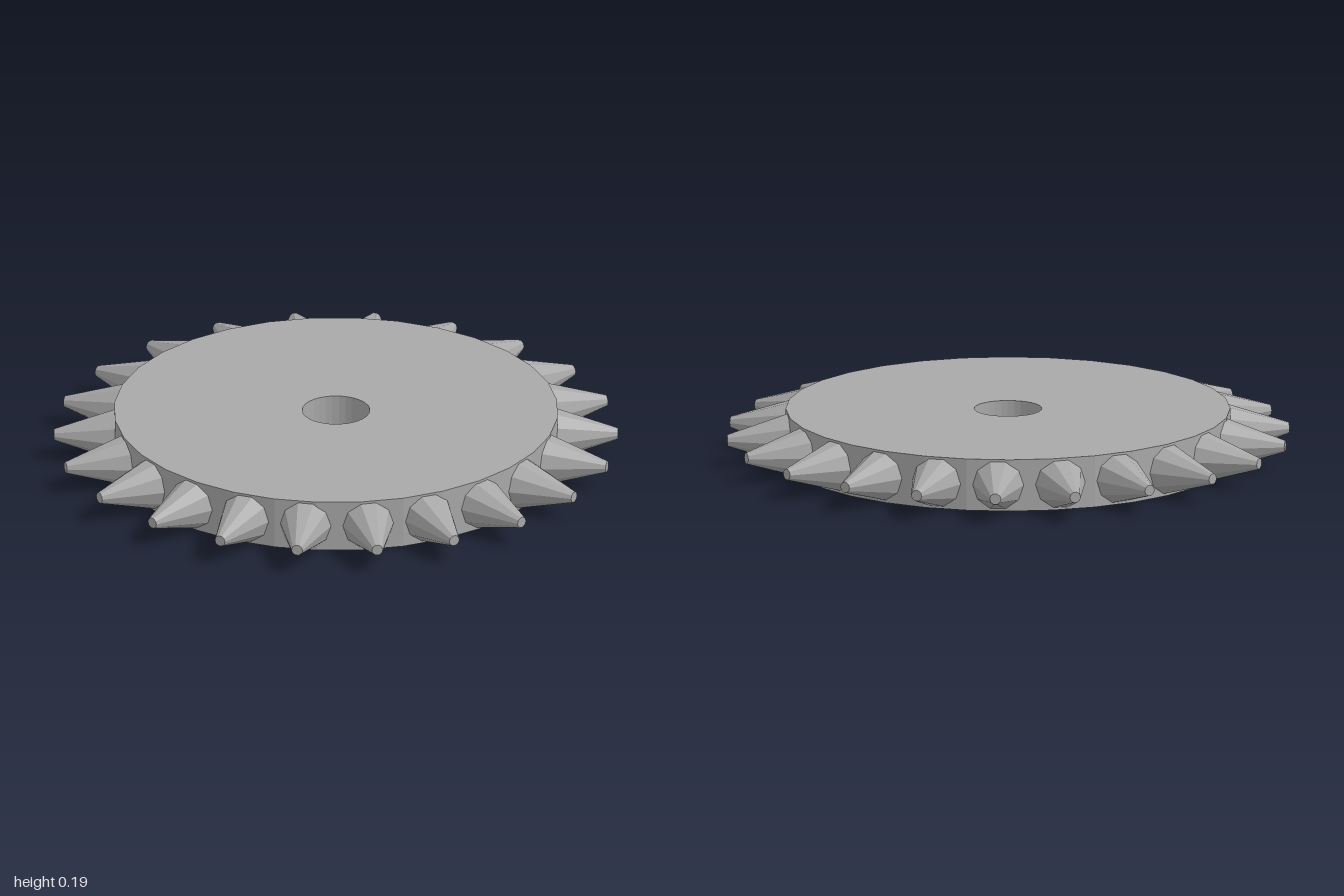
import * as THREE from 'three';

const HEIGHT = 0.187;
const SPIKES = 22;

// Gives every facet its own normal
function faceted(geometry) {
  const flat = geometry.toNonIndexed();
  flat.computeVertexNormals();
  return flat;
}

export function createModel() {
  const model = new THREE.Group();
  model.name = 'spikedWheel';
  const steel = new THREE.MeshStandardMaterial({ color: 0xa8a8a8 });
  steel.name = 'steel grey';

  // Disc with a round axle hole: a rectangular section turned about y
  const inner = 0.12, outer = 0.788;
  const section = [
    [inner, 0], [outer, 0], [outer, HEIGHT], [inner, HEIGHT], [inner, 0],
  ].map(([r, y]) => new THREE.Vector2(r, y));
  const disc = new THREE.Mesh(faceted(new THREE.LatheGeometry(section, 32)), steel);
  disc.name = 'disc';
  model.add(disc);

  // Blunt ten-sided spikes around the rim, their bases sunk into the disc
  const start = 0.765, tip = 1;
  const cone = new THREE.CylinderGeometry(0.02, 0.0955, tip - start, 10);
  cone.rotateZ(-Math.PI / 2);
  cone.translate((start + tip) / 2, HEIGHT / 2, 0);
  const spikeGeometry = faceted(cone);
  const spikes = new THREE.Group();
  spikes.name = 'spikes';
  for (let i = 0; i < SPIKES; i++) {
    const spike = new THREE.Mesh(spikeGeometry, steel);
    spike.name = `spike${i + 1}`;
    spike.rotation.y = (i / SPIKES) * Math.PI * 2;
    spikes.add(spike);
  }
  model.add(spikes);

  return model;
}
